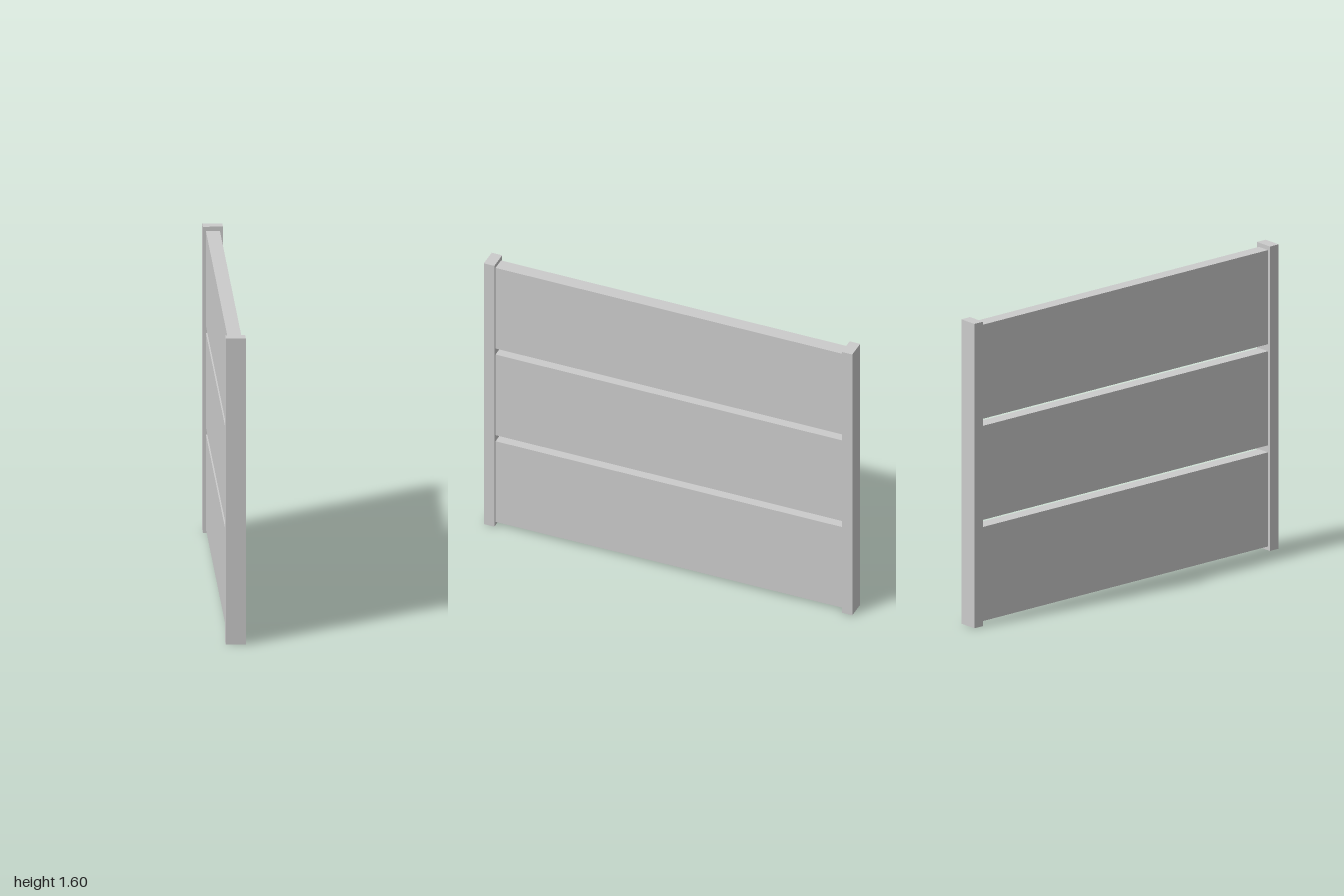
import * as THREE from 'three';

const HEIGHT = 1.595;
const POST = { width: 0.1, depth: 0.057 };
const PANEL = { thickness: 0.07, height: 0.493, pitch: 0.53, bottom: 0.02 };

export function createModel() {
  const model = new THREE.Group();
  model.name = 'slattedFence';
  const material = new THREE.MeshStandardMaterial({ color: 0xcccccc, flatShading: true });

  const addBox = (name, w, h, d, y, z) => {
    const mesh = new THREE.Mesh(new THREE.BoxGeometry(w, h, d), material);
    mesh.name = name;
    mesh.position.set(0, y + h / 2, z);
    model.add(mesh);
  };

  // Upright posts at both ends
  for (const side of [1, -1]) {
    addBox(side > 0 ? 'frontPost' : 'backPost', POST.width, HEIGHT, POST.depth, 0, side * (1 - POST.depth / 2));
  }

  // Three wide boards with narrow gaps, spanning between the posts
  ['lowerBoard', 'middleBoard', 'upperBoard'].forEach((name, i) => {
    addBox(name, PANEL.thickness, PANEL.height, 2 - 2 * POST.depth, PANEL.bottom + i * PANEL.pitch, 0);
  });

  return model;
}
